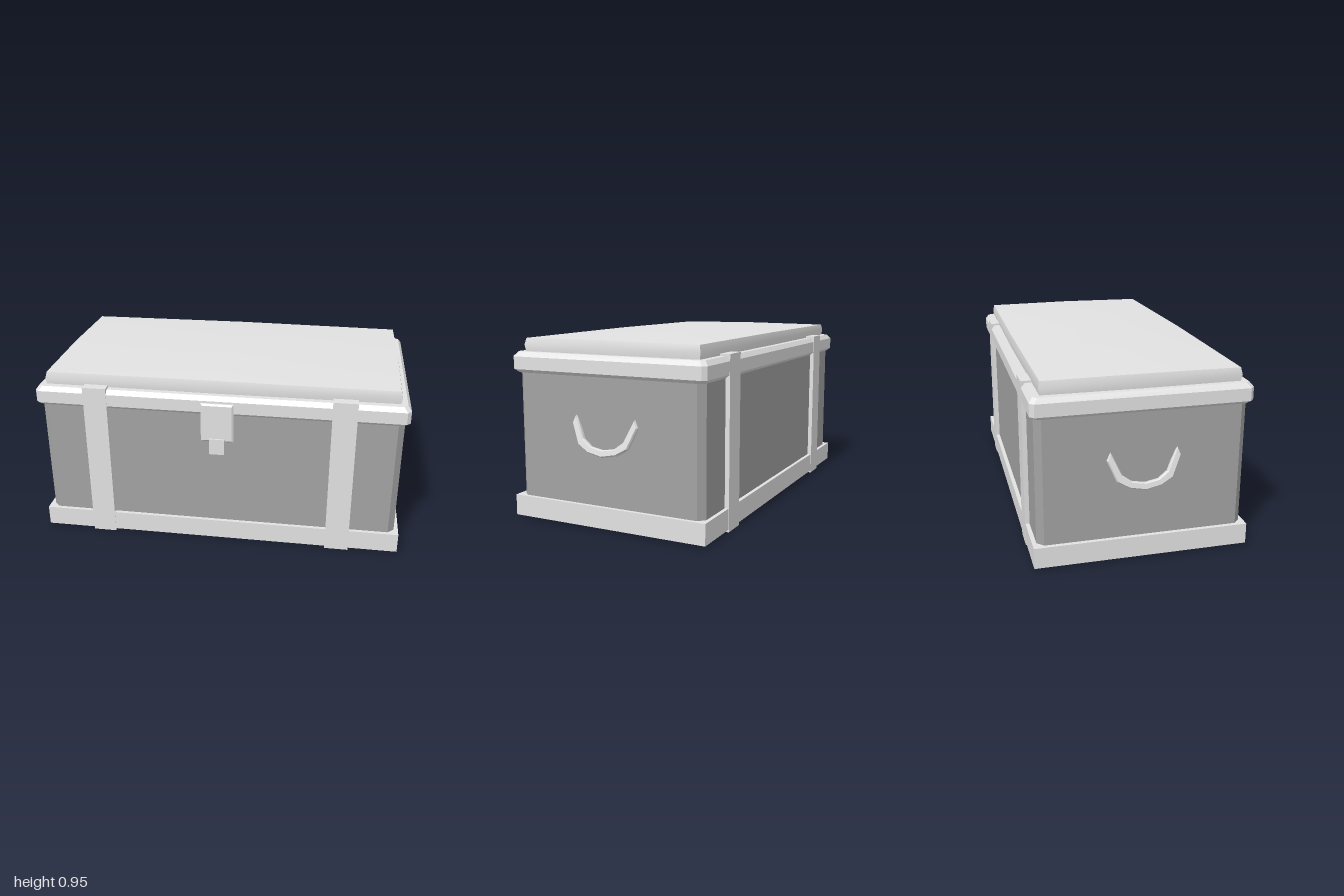
import * as THREE from 'three';
import { toCreasedNormals } from 'three/addons/utils/BufferGeometryUtils.js';

const trim = new THREE.MeshStandardMaterial({ color: 0xe2e2e2 });
trim.name = 'light grey trim';
const panel = new THREE.MeshStandardMaterial({ color: 0xa3a3a3 });
panel.name = 'dark grey panel';

// Rectangle with cut corners, counter-clockwise seen from above
function cutRing(y, x, z, c) {
  return [[x, z - c], [x, c - z], [x - c, -z], [c - x, -z], [-x, c - z], [-x, z - c], [c - x, z], [x - c, z]]
    .map(([px, pz]) => new THREE.Vector3(px, y, pz));
}

// Rectangle with slightly bowed edges
function bowedRing(y, x, z, bow, lift) {
  return [[x, z, 0], [x + bow, 0, 1], [x, -z, 0], [0, -z - bow, 1], [-x, -z, 0], [-x - bow, 0, 1], [-x, z, 0], [0, z + bow, 1]]
    .map(([px, pz, m]) => new THREE.Vector3(px, y + m * lift, pz));
}

// Faceted solid through stacked rings, with a bottom and a top cap
function loft(rings, topY) {
  const pos = [];
  const tri = (...pts) => pts.forEach((p) => pos.push(p.x, p.y, p.z));
  const n = rings[0].length;
  const last = rings[rings.length - 1];
  const bottom = new THREE.Vector3(0, rings[0][0].y, 0);
  const top = new THREE.Vector3(0, topY, 0);
  for (let j = 0; j < n; j++) {
    const k = (j + 1) % n;
    for (let i = 0; i < rings.length - 1; i++) {
      const [a, b, c, d] = [rings[i][j], rings[i][k], rings[i + 1][k], rings[i + 1][j]];
      tri(a, b, c);
      tri(a, c, d);
    }
    tri(bottom, rings[0][k], rings[0][j]);
    tri(top, last[j], last[k]);
  }
  const geo = new THREE.BufferGeometry();
  geo.setAttribute('position', new THREE.Float32BufferAttribute(pos, 3));
  geo.computeVertexNormals();
  return geo;
}

// Box given by its limits on each axis
function block(x0, x1, y0, y1, z0, z1) {
  return new THREE.BoxGeometry(x1 - x0, y1 - y0, z1 - z0)
    .translate((x0 + x1) / 2, (y0 + y1) / 2, (z0 + z1) / 2);
}

export function createModel() {
  const chest = new THREE.Group();
  chest.name = 'chest';
  const add = (name, geo, mat, parent = chest) => {
    const mesh = new THREE.Mesh(geo, mat);
    mesh.name = name;
    parent.add(mesh);
    return mesh;
  };

  // Dark body with cut corners
  add('body', loft([cutRing(0.115, 0.952, 0.52, 0.033), cutRing(0.8, 0.952, 0.52, 0.033)], 0.8), panel);

  // Hollow base frame, closed above by the light floor
  const outline = new THREE.Shape([[-0.975, -0.541], [0.975, -0.541], [0.975, 0.541], [-0.975, 0.541]]
    .map((p) => new THREE.Vector2(...p)));
  outline.holes.push(new THREE.Path(cutRing(0, 0.958, 0.525, 0.033).map((p) => new THREE.Vector2(p.x, p.z))));
  const frame = new THREE.ExtrudeGeometry(outline, { depth: 0.107, bevelEnabled: false });
  add('baseFrame', frame.rotateX(-Math.PI / 2).translate(0, 0.013, 0), trim);
  add('floor', loft([cutRing(0.112, 0.965, 0.532, 0.033), cutRing(0.119, 0.965, 0.532, 0.033)], 0.119), trim);

  // Bevelled rim of the lid
  add('lidRim', loft([
    cutRing(0.755, 0.955, 0.522, 0.02),
    cutRing(0.772, 0.975, 0.541, 0.02),
    cutRing(0.836, 0.975, 0.541, 0.02),
    cutRing(0.86, 0.957, 0.522, 0.02),
  ], 0.86), trim);

  // Raised lid panel with softly rounded sides and a shallow peak
  const lid = loft([
    bowedRing(0.85, 0.921, 0.486, 0.006, 0),
    bowedRing(0.893, 0.927, 0.492, 0.006, 0),
    bowedRing(0.926, 0.919, 0.485, 0.006, 0.004),
  ], 0.955);
  add('lidPanel', toCreasedNormals(lid, 0.6), trim);

  // Straps: front and back bands, hooked tops and the open channel below
  for (const side of [-1, 1]) {
    const strap = new THREE.Group();
    strap.name = side < 0 ? 'rightStrap' : 'leftStrap';
    strap.position.x = side * 0.65;
    chest.add(strap);
    for (const end of [-1, 1]) {
      const name = end < 0 ? 'back' : 'front';
      const [z0, z1, zTop] = [0.515, 0.543, 0.488].map((z) => z * end);
      add(name + 'Band', block(-0.063, 0.063, 0, 0.87, Math.min(z0, z1), Math.max(z0, z1)), trim, strap);
      add(name + 'Hook', block(-0.063, 0.063, 0.83, 0.87, Math.min(zTop, z1), Math.max(zTop, z1)), trim, strap);
      const x = end * 0.061;
      add('channelWall', block(x - 0.002, x + 0.002, 0, 0.114, -0.53, 0.53), trim, strap);
    }
  }

  // Latch plate with bevelled face, and its tab
  const plate = new THREE.Shape([[-0.077, 0.622], [0.077, 0.622], [0.077, 0.817], [-0.077, 0.817]]
    .map((p) => new THREE.Vector2(...p)));
  add('latchPlate', new THREE.ExtrudeGeometry(plate, {
    depth: 0.024, bevelThickness: 0.008, bevelSize: 0.009, bevelSegments: 1,
  }).translate(0, 0, 0.526), trim);
  add('latchTab', block(-0.04, 0.04, 0.545, 0.632, 0.54, 0.567), trim);

  // Curved handles leaning away from the ends
  const half = [[0.165, 0.19], [0.183, 0.15], [0.138, 0.044], [0.08, 0.01], [0, -0.006]];
  const inner = [[0, 0.03], [0.066, 0.042], [0.112, 0.076], [0.155, 0.172]];
  const mirror = (pts) => pts.map(([x, y]) => [-x, y]).reverse();
  const curve = [...half, ...mirror(half.slice(0, 4)), ...mirror(inner.slice(1)), ...inner];
  const handleShape = new THREE.Shape(curve.map((p) => new THREE.Vector2(...p)));
  const handleGeo = new THREE.ExtrudeGeometry(handleShape, {
    depth: 0.016, bevelThickness: 0.008, bevelSize: 0.005, bevelOffset: -0.005, bevelSegments: 1,
  });
  handleGeo.translate(0, -0.19, -0.014).rotateX(-0.2).rotateY(Math.PI / 2);
  for (const side of [-1, 1]) {
    const handle = add(side < 0 ? 'rightHandle' : 'leftHandle', handleGeo, trim);
    handle.position.set(side * 0.952, 0.566, 0);
    handle.rotation.y = side < 0 ? Math.PI : 0;
  }

  chest.children.forEach((part) => { part.position.z -= 0.011; });
  return chest;
}
